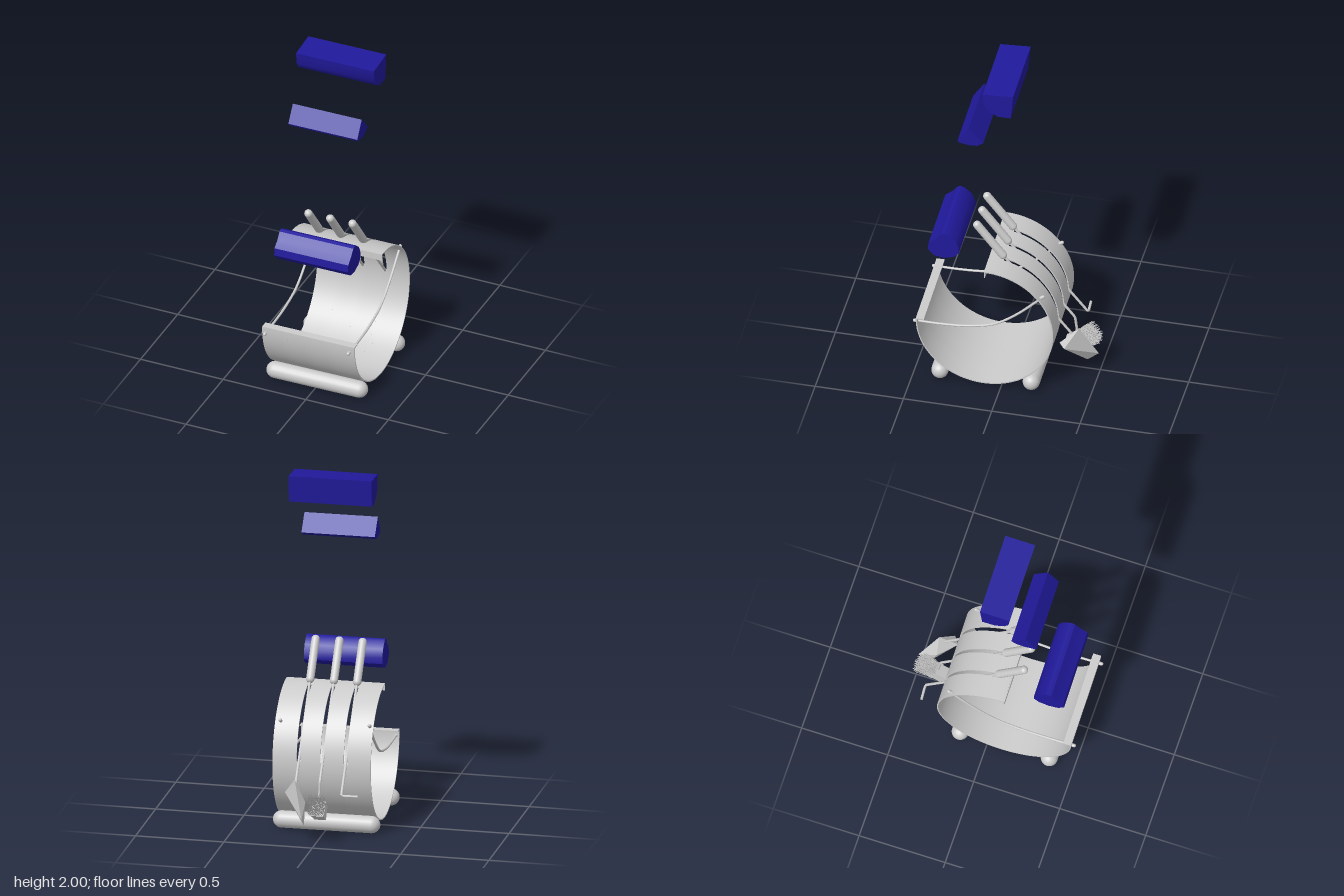
import * as THREE from 'three';
import { mergeGeometries, toCreasedNormals } from 'three/addons/utils/BufferGeometryUtils.js';
import { ConvexGeometry } from 'three/addons/geometries/ConvexGeometry.js';

const metal = new THREE.MeshStandardMaterial({ color: 0xcccccc });
const wood = new THREE.MeshStandardMaterial({ color: 0x20199b });
const V = (x, y, z) => new THREE.Vector3(x, y, z);
const deg = THREE.MathUtils.degToRad;

function add(parent, name, geometry, material = metal) {
  const mesh = new THREE.Mesh(geometry, material);
  mesh.name = name;
  parent.add(mesh);
  return mesh;
}

// Extrude a side profile (u = -z, v = y) from x0 to x1
function sideways(shape, x0, x1, curveSegments = 48) {
  const g = new THREE.ExtrudeGeometry(shape, { depth: x1 - x0, bevelEnabled: false, curveSegments });
  g.translate(0, 0, x0).rotateY(Math.PI / 2);
  return toCreasedNormals(g, 0.5);
}

// Round bar through a list of points
function bar(points, radius, smooth = true) {
  const path = smooth ? new THREE.CatmullRomCurve3(points) : new THREE.CurvePath();
  if (!smooth) points.slice(1).forEach((p, i) => path.add(new THREE.LineCurve3(points[i], p)));
  return new THREE.TubeGeometry(path, 40, radius, 10);
}

// Capsule between two points, measured to its rounded tips
function capsule(parent, name, a, b, radius) {
  const dir = b.clone().sub(a);
  const g = new THREE.CapsuleGeometry(radius, dir.length() - 2 * radius, 8, 20);
  const mesh = add(parent, name, g);
  mesh.position.copy(a).add(b).multiplyScalar(0.5);
  mesh.quaternion.setFromUnitVectors(V(0, 1, 0), dir.normalize());
  return mesh;
}

const CU = -0.097, CY = 0.4, R = 0.388, T = 0.007, HALF = 0.277;
const toolX = [-0.135, -0.004, 0.13];

// Curved sheet cradle, split into strips so that three slots stay open
function buildCradle() {
  const cradle = new THREE.Group();
  cradle.name = 'cradle';
  const strip = (x0, x1, a0, a1) => {
    const s = new THREE.Shape();
    s.absarc(CU, CY, R, deg(a0), deg(a1), false);
    s.absarc(CU, CY, R - T, deg(a1), deg(a0), true);
    add(cradle, 'curvedSheet', sideways(s, x0, x1));
  };
  const slot = 0.011;
  let x = -HALF;
  for (const tx of toolX) {
    strip(x, tx - slot, -180, 90);
    strip(tx - slot, tx + slot, -180, 4);
    strip(tx - slot, tx + slot, 78, 90);
    x = tx + slot;
  }
  strip(x, HALF, -180, 90);
  // Folded lips along the top and front edges
  add(cradle, 'topLip', new THREE.BoxGeometry(2 * HALF, 0.04, T)).position.set(0, 0.767, 0.097);
  add(cradle, 'frontLip', new THREE.BoxGeometry(2 * HALF, T, 0.046)).position.set(0, 0.399, 0.462);
  return cradle;
}

// Two curved stays with bolted ends
function buildStays(parent) {
  for (const x of [-0.257, 0.246]) {
    const points = [[0.365, 0.5], [0.363, 0.35], [0.373, 0.2], [0.41, 0.05], [0.49, -0.07], [0.645, -0.232]];
    add(parent, 'sideStay', bar(points.map(([y, z]) => V(x, y, z)), 0.007));
    capsule(parent, 'frontBolt', V(x, 0.364, 0.47), V(x, 0.364, 0.507), 0.01);
    capsule(parent, 'rearBolt', V(x, 0.628, -0.207), V(x, 0.648, -0.236), 0.01);
  }
}

// Brush head set across its shaft, with a bundle of bristles
function buildBrushHead(x) {
  const brush = new THREE.Group();
  brush.name = 'brushHead';
  brush.position.set(x, 0.15, -0.325);
  brush.rotation.x = -1;
  add(brush, 'brushBlock', new THREE.BoxGeometry(0.066, 0.06, 0.08)).position.y = 0.03;
  add(brush, 'brushCollar', new THREE.BoxGeometry(0.072, 0.03, 0.087)).position.y = 0.072;
  let seed = 7;
  const rnd = () => (seed = (seed * 16807) % 2147483647) / 2147483647 - 0.5;
  const bristles = [];
  for (let i = 0; i < 12; i++) for (let j = 0; j < 14; j++) {
    const a = i / 11 - 0.5, b = j / 13 - 0.5;
    const path = new THREE.QuadraticBezierCurve3(
      V(a * 0.064, 0.08, b * 0.078),
      V(a * 0.085 + rnd() * 0.01, 0.13, b * 0.1 + rnd() * 0.01),
      V(a * 0.08 + rnd() * 0.015, 0.183 + rnd() * 0.015, b * 0.095 + rnd() * 0.015));
    bristles.push(new THREE.TubeGeometry(path, 4, 0.0016, 4));
  }
  add(brush, 'bristles', mergeGeometries(bristles));
  return brush;
}

// Poker, brush and shovel hung through the slots
function buildTools() {
  const tools = new THREE.Group();
  tools.name = 'fireTools';
  const ends = [
    [V(0, 0.28, -0.402), V(-0.092, 0.28, -0.397)],
    [V(0, 0.335, -0.355), V(0, 0.22, -0.37)],
    [V(0, 0.31, -0.375)],
  ];
  toolX.forEach((x, i) => {
    capsule(tools, 'toolHandle', V(x, 1.013, 0.183), V(x, 0.79, 0.01), 0.023);
    const points = [V(0, 0.82, 0.034), ...ends[i]].map(p => p.setX(p.x + x));
    add(tools, ['pokerShaft', 'brushShaft', 'shovelShaft'][i], bar(points, 0.0075, false));
  });
  tools.add(buildBrushHead(toolX[1]));
  // Tapered, slightly twisted shovel pan
  add(tools, 'shovelPan', new ConvexGeometry([
    V(0.152, 0.265, -0.3), V(0.127, 0.36, -0.405), V(0.197, 0.26, -0.335),
    V(0.068, 0.16, -0.505), V(0.068, 0.108, -0.44), V(0.068, 0.23, -0.4),
  ]));
  return tools;
}

// Split logs: side profile as [u, y] and the extent in x
const logs = [
  { x: [-0.228, 0.215], profile: [[-0.43, 0.85], [-0.425, 0.893], [-0.385, 0.925], [-0.355, 0.962], [-0.337, 0.968],
    [-0.318, 0.962], [-0.275, 0.925], [-0.255, 0.88], [-0.255, 0.845], [-0.285, 0.815], [-0.34, 0.8], [-0.395, 0.81]] },
  { x: [-0.214, 0.2], profile: [[-0.202, 1.715], [-0.265, 1.62], [-0.258, 1.607], [-0.2, 1.597], [-0.155, 1.6], [-0.12, 1.622]] },
  { x: [-0.232, 0.236], profile: [[-0.116, 1.99], [0.056, 2.0], [0.043, 1.85], [-0.03, 1.85], [-0.085, 1.882],
    [-0.108, 1.92]] },
];

export function createModel() {
  const model = new THREE.Group();
  model.name = 'logHolder';
  const body = new THREE.Group();
  body.name = 'holderAndLogs';
  body.rotation.y = 0.016;
  model.add(body);

  body.add(buildCradle());
  buildStays(body);
  body.add(buildTools());
  // Round feet front and back
  for (const z of [0.353, -0.162]) capsule(body, 'footBar', V(-0.304, 0.048, z), V(0.3, 0.048, z), 0.048);
  for (const { x, profile } of logs) {
    const shape = new THREE.Shape(profile.map(([u, y]) => new THREE.Vector2(u, y)));
    add(body, 'log', sideways(shape, x[0], x[1]), wood);
  }
  return model;
}
